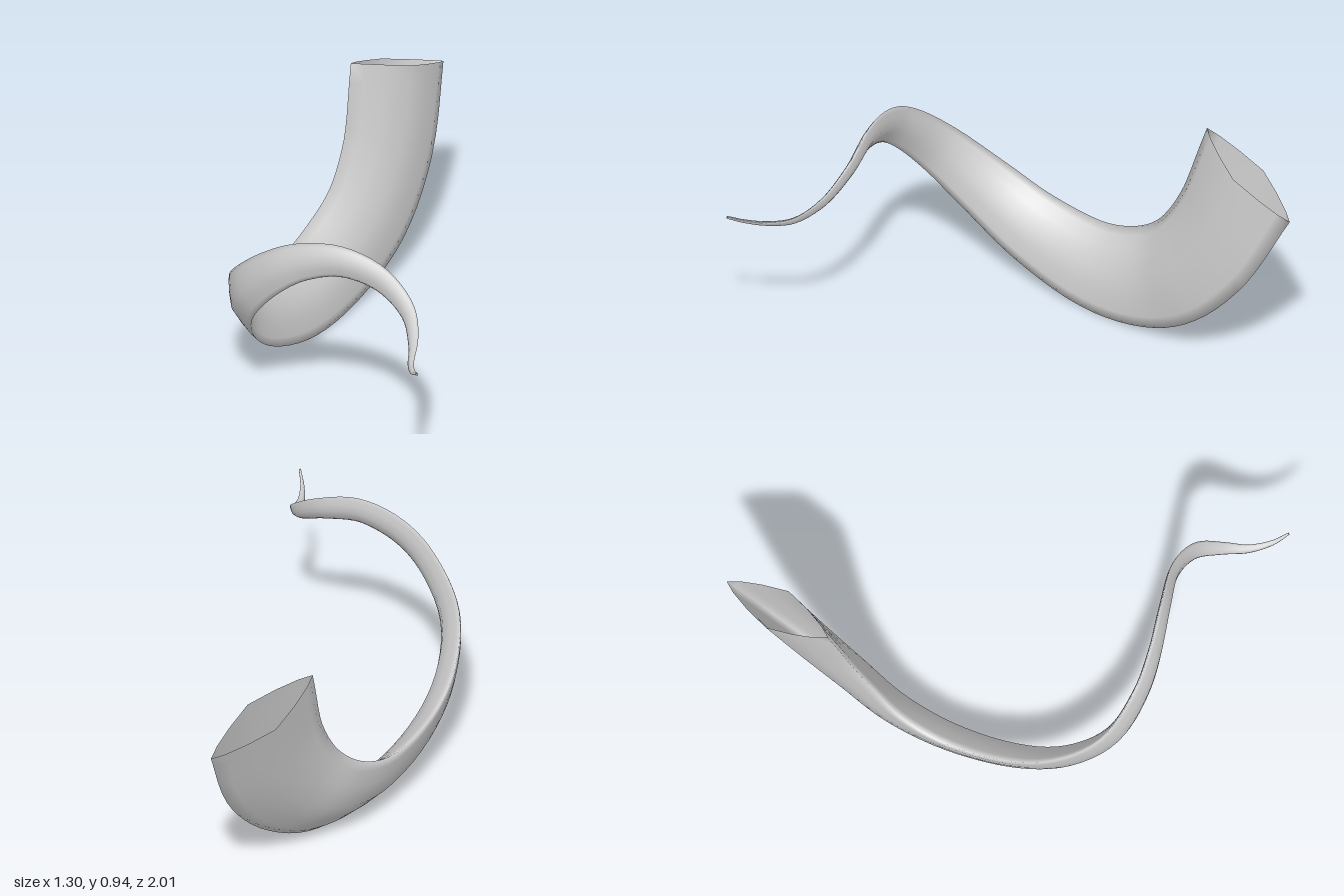
import * as THREE from 'three';

// Centre line of the horn from the open mouth to the tip: x, y, z, half width
const PATH = [
  [0.415, 0.85, -0.91, 0.267], [0.33, 0.54, -0.8, 0.243], [0.2, 0.33, -0.7, 0.22],
  [0.03, 0.205, -0.61, 0.199], [-0.17, 0.16, -0.483, 0.174], [-0.4, 0.23, -0.312, 0.147],
  [-0.545, 0.36, -0.165, 0.124], [-0.614, 0.53, 0, 0.102], [-0.566, 0.695, 0.16, 0.086],
  [-0.483, 0.785, 0.27, 0.076], [-0.36, 0.824, 0.39, 0.064], [-0.238, 0.778, 0.51, 0.051],
  [-0.181, 0.69, 0.64, 0.038], [-0.205, 0.615, 0.75, 0.027], [-0.252, 0.591, 0.84, 0.018],
  [-0.283, 0.602, 0.93, 0.011], [-0.293, 0.63, 1.0, 0.005],
];

// Flat, lens-shaped cross-section in units of half width and half thickness
const SECTION = [
  [1, 0], [0.8, 0.31], [0.46, 0.66], [0, 1], [-0.46, 0.66], [-0.8, 0.31],
  [-1, 0], [-0.8, -0.31], [-0.46, -0.66], [0, -1], [0.46, -0.66], [0.8, -0.31],
];
const STEPS = (PATH.length - 1) * 5;
const TWIST = THREE.MathUtils.degToRad(42);

function sweepHorn() {
  const curve = new THREE.CatmullRomCurve3(PATH.map(([x, y, z]) => new THREE.Vector3(x, y, z)));
  const widths = new THREE.CatmullRomCurve3(
    PATH.map((p) => new THREE.Vector3(p[3], 0, 0)), false, 'catmullrom');
  const positions = [];
  const index = [];
  const n = SECTION.length;
  // Width direction at the mouth, carried along the curve
  const carried = new THREE.Vector3(0.88, -0.35, -0.34);

  for (let i = 0; i <= STEPS; i++) {
    const t = i / STEPS;
    const centre = curve.getPoint(t);
    const tangent = curve.getTangent(t);
    const halfWidth = widths.getPoint(t).x;
    const halfThickness = 0.3 * halfWidth + 0.004;

    // The flat section turns steadily until the top of the curl
    carried.addScaledVector(tangent, -carried.dot(tangent)).normalize();
    const wide = carried.clone().applyAxisAngle(tangent, TWIST * Math.min(t / 0.6, 1));
    const thick = new THREE.Vector3().crossVectors(tangent, wide);
    for (const [a, b] of SECTION) {
      const p = centre.clone()
        .addScaledVector(wide, a * halfWidth)
        .addScaledVector(thick, b * halfThickness);
      positions.push(p.x, p.y, p.z);
    }
    if (i === STEPS) break;
    for (let j = 0; j < n; j++) {
      const a = i * n + j;
      const b = i * n + ((j + 1) % n);
      index.push(a, b, a + n, b, b + n, a + n);
    }
  }

  const geometry = new THREE.BufferGeometry();
  geometry.setAttribute('position', new THREE.Float32BufferAttribute(positions, 3));
  geometry.setIndex(index);
  geometry.computeVertexNormals();
  return geometry;
}

export function createModel() {
  const group = new THREE.Group();
  group.name = 'spiralHorn';

  // Hollow horn, open at the mouth
  const horn = new THREE.Mesh(
    sweepHorn(),
    new THREE.MeshStandardMaterial({ color: 0xcccccc, side: THREE.DoubleSide }),
  );
  horn.name = 'horn';
  group.add(horn);
  return group;
}
